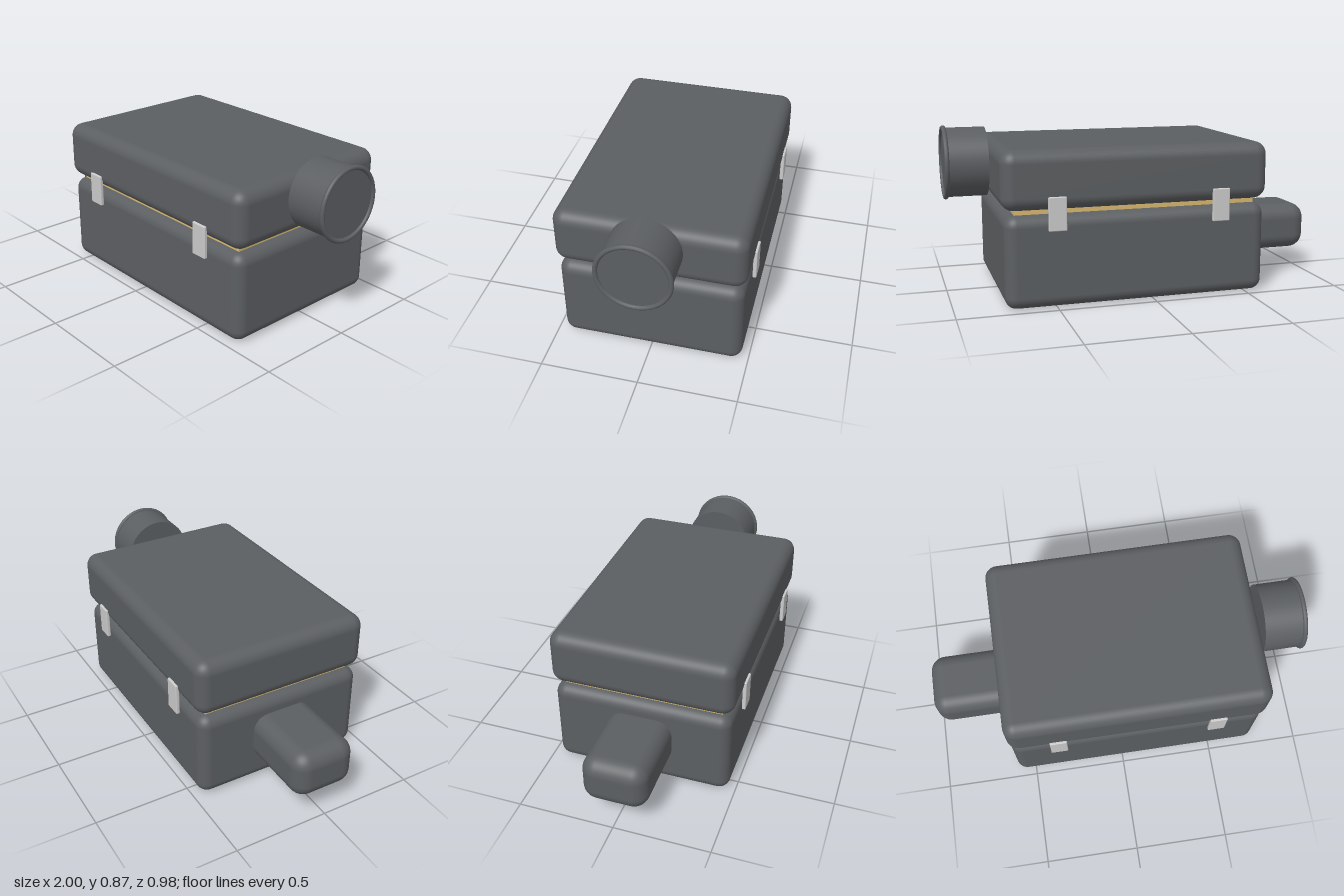
import * as THREE from 'three';
import { RoundedBoxGeometry } from 'three/addons/geometries/RoundedBoxGeometry.js';

export function createModel() {
  const group = new THREE.Group();
  const shell = new THREE.MeshStandardMaterial({ color: 0x5c5f62 });
  const seal = new THREE.MeshStandardMaterial({ color: 0xd9b870 });
  const metal = new THREE.MeshStandardMaterial({ color: 0xcccccc });

  const add = (name, geometry, material, x, y, z) => {
    const mesh = new THREE.Mesh(geometry, material);
    mesh.name = name;
    mesh.position.set(x, y, z);
    group.add(mesh);
    return mesh;
  };

  // Rounded box given by its extents in x and y and its half depth in z
  const block = (name, x0, x1, y0, y1, halfZ, radius) =>
    add(name, new RoundedBoxGeometry(x1 - x0, y1 - y0, halfZ * 2, 5, radius),
      shell, (x0 + x1) / 2, (y0 + y1) / 2, 0);

  // Housing: lower box, lid, and the inlet duct running into the box
  block('lowerBox', -0.6, 0.755, 0, 0.468, 0.466, 0.06);
  block('lid', -0.61, 0.768, 0.49, 0.785, 0.478, 0.065);
  block('inletDuct', -1, -0.5, 0.13, 0.383, 0.168, 0.08);

  // Seal between box and lid
  add('gasket', new THREE.BoxGeometry(1.25, 0.04, 0.83), seal, 0.077, 0.479, 0);

  // Outlet pipe with a rolled lip, lying along x
  const pipe = new THREE.CylinderGeometry(0.178, 0.178, 0.208, 48);
  pipe.rotateZ(-Math.PI / 2);
  add('outletPipe', pipe, shell, 0.884, 0.68, 0);
  const lip = new THREE.TorusGeometry(0.178, 0.012, 12, 48);
  lip.rotateY(Math.PI / 2);
  add('outletLip', lip, shell, 0.988, 0.68, 0);

  // Two latches on each long side
  for (const side of [1, -1]) {
    for (const x of [-0.345, 0.5]) {
      add('latch', new RoundedBoxGeometry(0.09, 0.168, 0.02, 2, 0.005),
        metal, x, 0.476, side * 0.48);
    }
  }

  return group;
}
